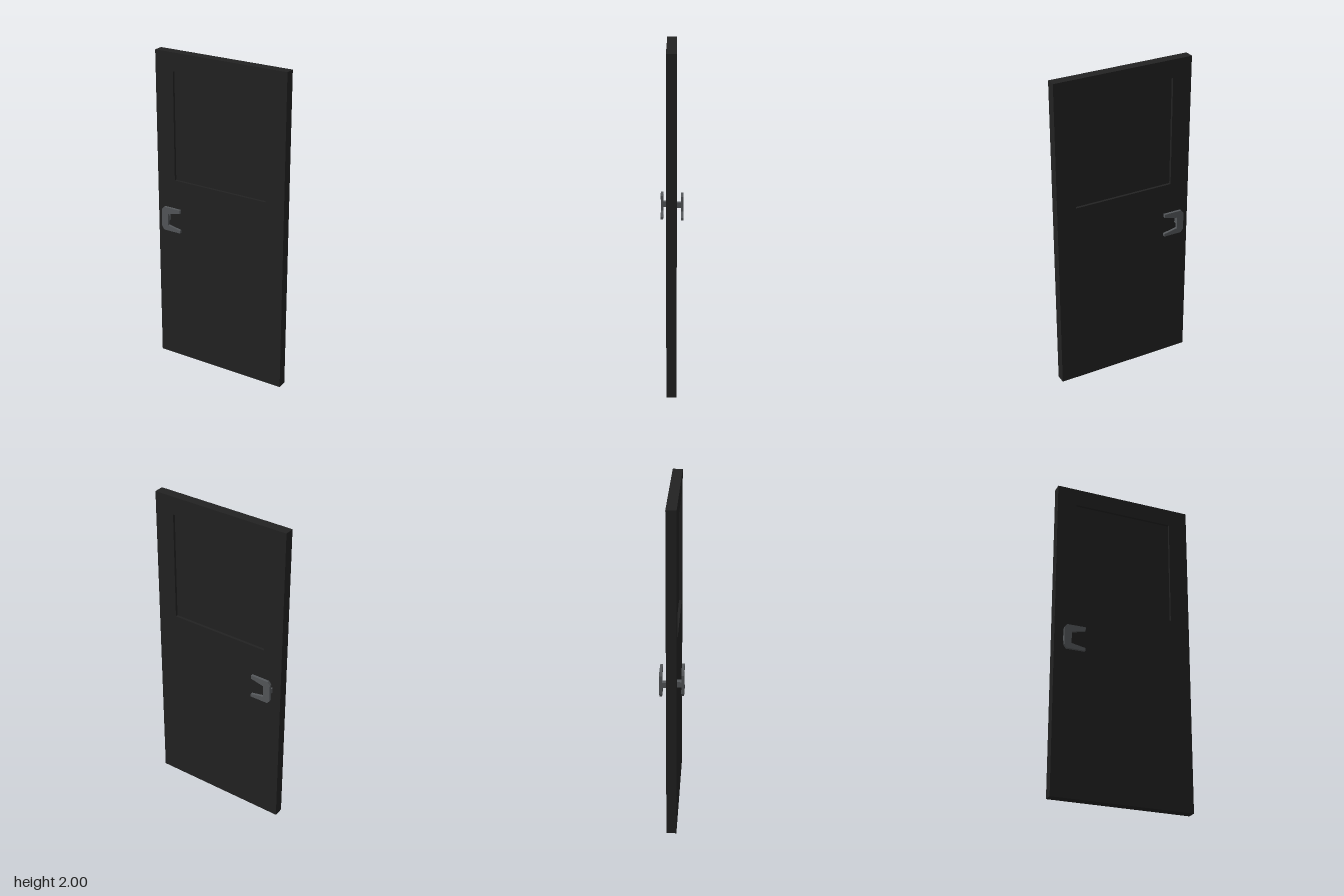
import * as THREE from 'three';

const W = 0.437, T = 0.03; // half width and half thickness of the slab

function polygon(points) {
  return new THREE.Shape(points.map(([x, y]) => new THREE.Vector2(x, y)));
}

function extrude(shape, depth) {
  return new THREE.ExtrudeGeometry(shape, { depth, bevelEnabled: false }).translate(0, 0, -depth / 2);
}

export function createModel() {
  const door = new THREE.Group();
  door.name = 'door';
  const slabPaint = new THREE.MeshStandardMaterial({ color: 0x222222 });
  slabPaint.name = 'charcoal paint';
  const metal = new THREE.MeshStandardMaterial({ color: 0x55585b });
  metal.name = 'grey metal';

  const add = (parent, name, geometry, material, x = 0, y = 0, z = 0) => {
    const mesh = new THREE.Mesh(geometry, material);
    mesh.name = name;
    mesh.position.set(x, y, z);
    parent.add(mesh);
  };

  // Slab with an opening for the upper panel
  const outline = polygon([[-W, 0], [W, 0], [W, 2], [-W, 2]]);
  outline.holes.push(polygon([[-0.316, 1.207], [-0.316, 1.888], [0.316, 1.888], [0.316, 1.207]]));
  add(door, 'doorSlab', extrude(outline, T * 2), slabPaint);

  // Recessed panel, set back on both faces
  add(door, 'recessedPanel', new THREE.BoxGeometry(0.632, 0.681, 0.028), slabPaint, 0, 1.5475, 0);

  // Fork-shaped handle on a short stem, one on each face
  const fork = polygon([
    [-0.388, 0.905], [-0.372, 0.885], [-0.257, 0.885], [-0.257, 0.903], [-0.343, 0.92],
    [-0.343, 0.994], [-0.257, 1.014], [-0.257, 1.037], [-0.372, 1.037], [-0.388, 1.018],
  ]);
  for (const [side, name, drop] of [[1, 'frontHandle', 0], [-1, 'backHandle', -0.006]]) {
    const handle = new THREE.Group();
    handle.name = name;
    handle.position.y = drop;
    add(handle, name + 'Grip', extrude(fork, 0.016), metal, 0, 0, side * 0.063);
    add(handle, name + 'Stem', new THREE.BoxGeometry(0.034, 0.033, 0.028), metal, -0.366, 0.959, side * 0.042);
    door.add(handle);
  }
  return door;
}
